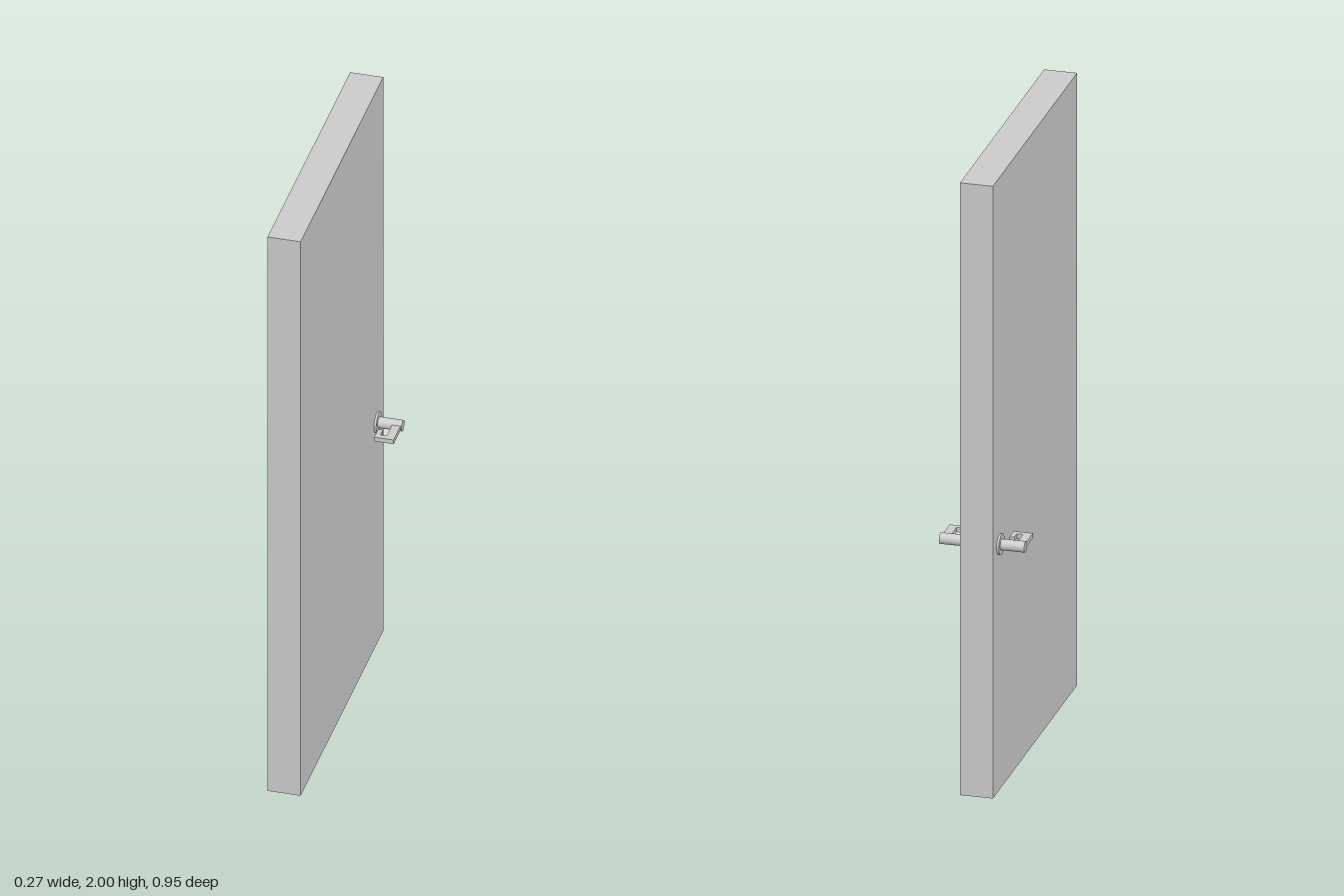
import * as THREE from 'three';

const material = new THREE.MeshStandardMaterial({ color: 0xcccccc });
const HANDLE_Y = 0.802, HANDLE_Z = -0.4;

function part(name, geometry) {
  const mesh = new THREE.Mesh(geometry, material);
  mesh.name = name;
  return mesh;
}

// Cylinder lying along x between two distances from the door centre
function rod(name, radius, x0, x1, side) {
  const mesh = part(name, new THREE.CylinderGeometry(radius, radius, x1 - x0, 32));
  mesh.rotation.z = Math.PI / 2;
  mesh.position.x = side * (x0 + x1) / 2;
  return mesh;
}

// Flat lever with its end hooked back towards the door; points are (x, z from spindle)
function lever(side) {
  const thickness = 0.015;
  const outline = [
    [0.131, 0], [0.131, 0.095], [0.07, 0.095], [0.07, 0.049],
    [0.085, 0.049], [0.085, 0.077], [0.104, 0.077], [0.104, 0],
  ];
  const shape = new THREE.Shape(outline.map(([x, z]) => new THREE.Vector2(side * x, -z)));
  const geometry = new THREE.ExtrudeGeometry(shape, { depth: thickness, bevelEnabled: false });
  geometry.rotateX(-Math.PI / 2).translate(0, -thickness / 2, 0);
  return part('lever', geometry);
}

function handle(side) {
  const group = new THREE.Group();
  group.name = side > 0 ? 'leftHandle' : 'rightHandle';
  group.add(
    rod('rosette', 0.033, 0.05, 0.059, side),
    rod('spindle', 0.0175, 0.05, 0.134, side),
    lever(side),
  );
  group.position.set(0, HANDLE_Y, HANDLE_Z);
  return group;
}

export function createModel() {
  const door = new THREE.Group();
  door.name = 'door';

  // Solid door slab
  const slab = part('slab', new THREE.BoxGeometry(0.104, 2, 0.948));
  slab.position.y = 1;
  door.add(slab);

  // Matching handles on both faces
  for (const side of [1, -1]) door.add(handle(side));
  return door;
}
